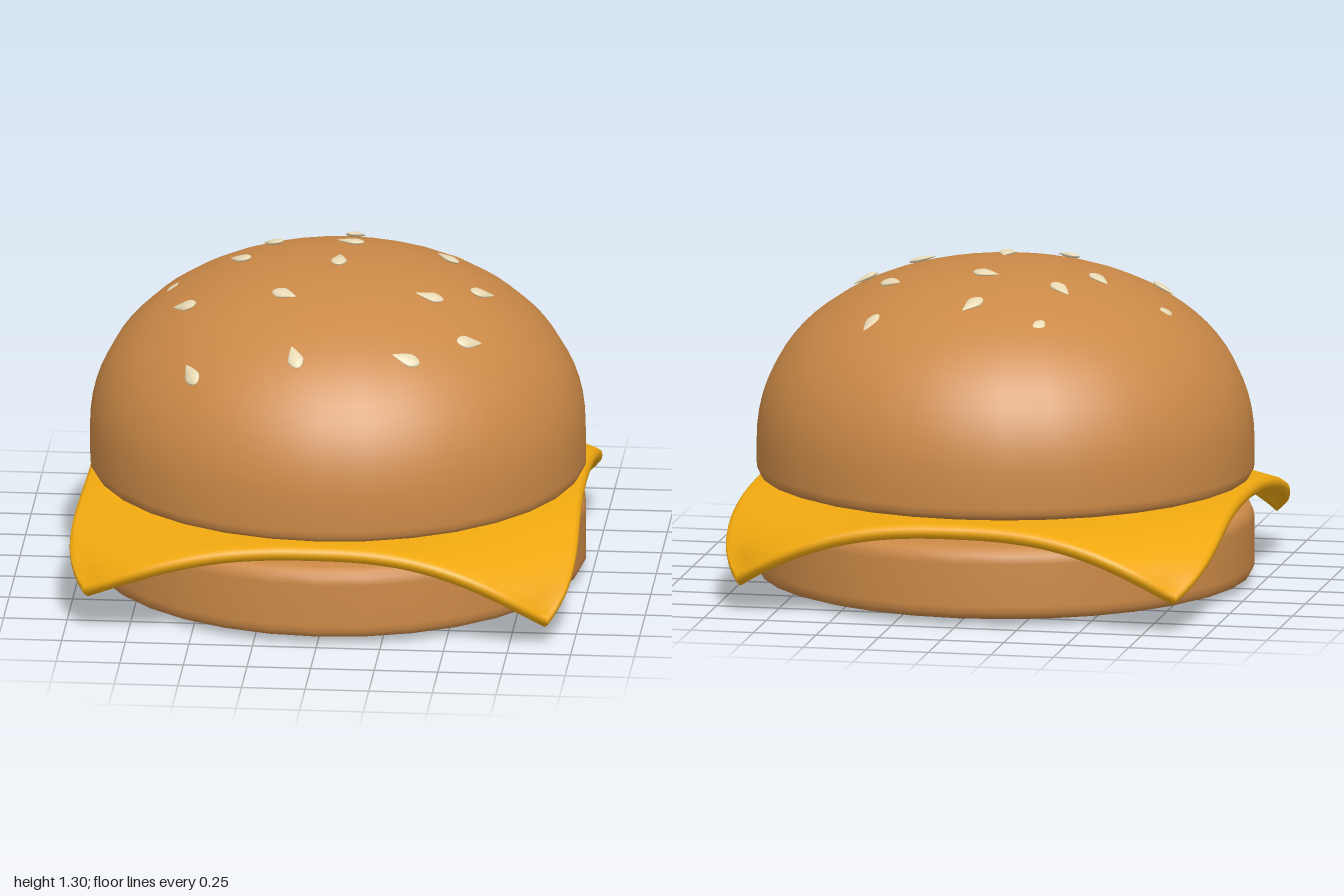
import * as THREE from 'three';
import { mergeVertices } from 'three/addons/utils/BufferGeometryUtils.js';

const mat = (color, extra = {}) => new THREE.MeshStandardMaterial({ color, ...extra });
const bunMat = mat(0xcb8947);
const cheeseMat = mat(0xf0a80f);
const seedMat = mat(0xe8d9b4);

// Dome of the top bun: a slightly squared ellipse over a short straight side
const R = 0.975, DOME_Y = 0.55, DOME_H = 0.72, POWER = 2.2, BUN_Z = 0.005;
const domeHeight = (r) => DOME_Y + DOME_H * Math.pow(Math.max(0, 1 - Math.pow(r / R, POWER)), 1 / POWER);

function lathe(name, points) {
  const geo = new THREE.LatheGeometry(points.map(([x, y]) => new THREE.Vector2(x, y)), 32);
  const mesh = new THREE.Mesh(geo, bunMat);
  mesh.name = name;
  mesh.position.z = BUN_Z;
  return mesh;
}

function topBun() {
  const profile = [[0, 0.41], [0.5, 0.41], [0.86, 0.413], [0.93, 0.418], [0.96, 0.428], [0.972, 0.445], [R, 0.47]];
  const steps = 20;
  for (let i = 0; i <= steps; i++) {
    const a = (i / steps) * Math.PI / 2;
    const r = i === steps ? 0 : R * Math.pow(Math.cos(a), 2 / POWER);
    profile.push([r, domeHeight(r)]);
  }
  return lathe('topBun', profile);
}

function bottomBun() {
  return lathe('bottomBun', [
    [0, 0], [0.5, 0.004], [0.8, 0.013], [0.92, 0.022], [0.96, 0.034], [0.973, 0.055], [R, 0.08],
    [R, 0.25], [0.97, 0.28], [0.955, 0.3], [0.93, 0.312], [0.88, 0.318], [0.6, 0.32], [0, 0.32],
  ]);
}

// Square slice whose four corners hang down by different amounts
function cheeseSlice() {
  const T = 0.056;
  const corners = { // droop, x shift, z shift
    '1,1': [0.265, -0.01, 0.005], '-1,1': [0.205, -0.01, -0.035],
    '1,-1': [0.24, -0.015, 0.055], '-1,-1': [0.23, 0.035, -0.045],
  };
  let geo = new THREE.BoxGeometry(2, T, 2, 40, 4, 40);
  geo.deleteAttribute('normal');
  geo.deleteAttribute('uv');
  geo = mergeVertices(geo);
  const p = geo.attributes.position;
  const spread = (a, b) => a * (0.975 + 0.07 * b ** 2 - 0.13 * b ** 6);
  for (let i = 0; i < p.count; i++) {
    const u = p.getX(i), v = p.getZ(i), y = p.getY(i);
    const [drop, dx, dz] = corners[`${u < 0 ? -1 : 1},${v < 0 ? -1 : 1}`];
    const w = Math.abs(u * v);
    const rim = 1 - 0.018 * Math.pow(Math.abs(2 * y / T), 3); // rounds the rim
    const shift = Math.pow(w, 1.5);
    p.setXYZ(i, spread(u, v) * rim + dx * shift, 0.372 + y - drop * Math.pow(w, 2.6), spread(v, u) * rim + dz * shift);
  }
  geo.computeVertexNormals();
  const mesh = new THREE.Mesh(geo, cheeseMat);
  mesh.name = 'cheeseSlice';
  return mesh;
}

// Teardrop seed, pointed end towards +x
function seedGeometry() {
  const geo = new THREE.SphereGeometry(1, 14, 10);
  geo.rotateZ(-Math.PI / 2);
  const p = geo.attributes.position;
  for (let i = 0; i < p.count; i++) {
    const x = p.getX(i), taper = x > -0.3 ? 1 - 0.75 * (x + 0.3) / 1.3 : 1;
    p.setXYZ(i, x * 0.056, p.getY(i) * 0.012 * taper, p.getZ(i) * 0.034 * taper);
  }
  geo.computeVertexNormals();
  return geo;
}

function sesameSeeds() {
  const group = new THREE.Group();
  group.name = 'sesameSeeds';
  const geo = seedGeometry();
  // x, z, direction of the point (x, z), lift above the bun
  const seeds = [
    [0.03, -0.5, 0.5, -0.85, 0.008], [0.44, -0.5, 0.5, -0.8, -0.006], [-0.28, -0.29, -0.7, -0.7, 0.008],
    [0.03, -0.22, -1, -0.3, 0.008], [0.41, -0.21, -0.8, -0.6, 0.008], [-0.39, -0.08, -0.7, -0.6, 0.008],
    [0.01, 0.07, 0, -1, 0.02], [0.57, 0.07, 0.9, -0.5, 0.008], [0.38, 0.26, -1, 0, 0.008],
    [0.55, 0.44, 0.9, -0.4, 0.008], [0.32, 0.64, -1, -0.2, 0.008], [-0.11, 0.69, -0.2, -1, 0.008],
    [-0.52, 0.63, -0.1, -1, 0.008], [-0.58, 0.24, -0.9, -0.4, 0.008], [-0.18, 0.34, 0.8, 0.5, 0.008],
    [-0.24, -0.57, 0.4, -0.9, -0.009], [-0.65, -0.08, 0.5, -0.8, -0.009],
  ];
  for (const [x, z, dx, dz, lift] of seeds) {
    const r = Math.hypot(x, z - BUN_Z), e = 0.01;
    const slope = (domeHeight(r + e) - domeHeight(Math.max(0, r - e))) / (2 * e);
    const normal = new THREE.Vector3(-slope * x / r, 1, -slope * (z - BUN_Z) / r).normalize();
    const point = new THREE.Vector3(dx, 0, dz).projectOnPlane(normal).normalize();
    const side = new THREE.Vector3().crossVectors(point, normal);
    const seed = new THREE.Mesh(geo, seedMat);
    seed.name = 'sesameSeed';
    seed.quaternion.setFromRotationMatrix(new THREE.Matrix4().makeBasis(point, normal, side));
    seed.position.set(x, domeHeight(r), z).addScaledVector(normal, lift);
    group.add(seed);
  }
  return group;
}

export function createModel() {
  const model = new THREE.Group();
  model.name = 'cheeseburger';
  model.add(bottomBun(), cheeseSlice(), topBun(), sesameSeeds());
  return model;
}
